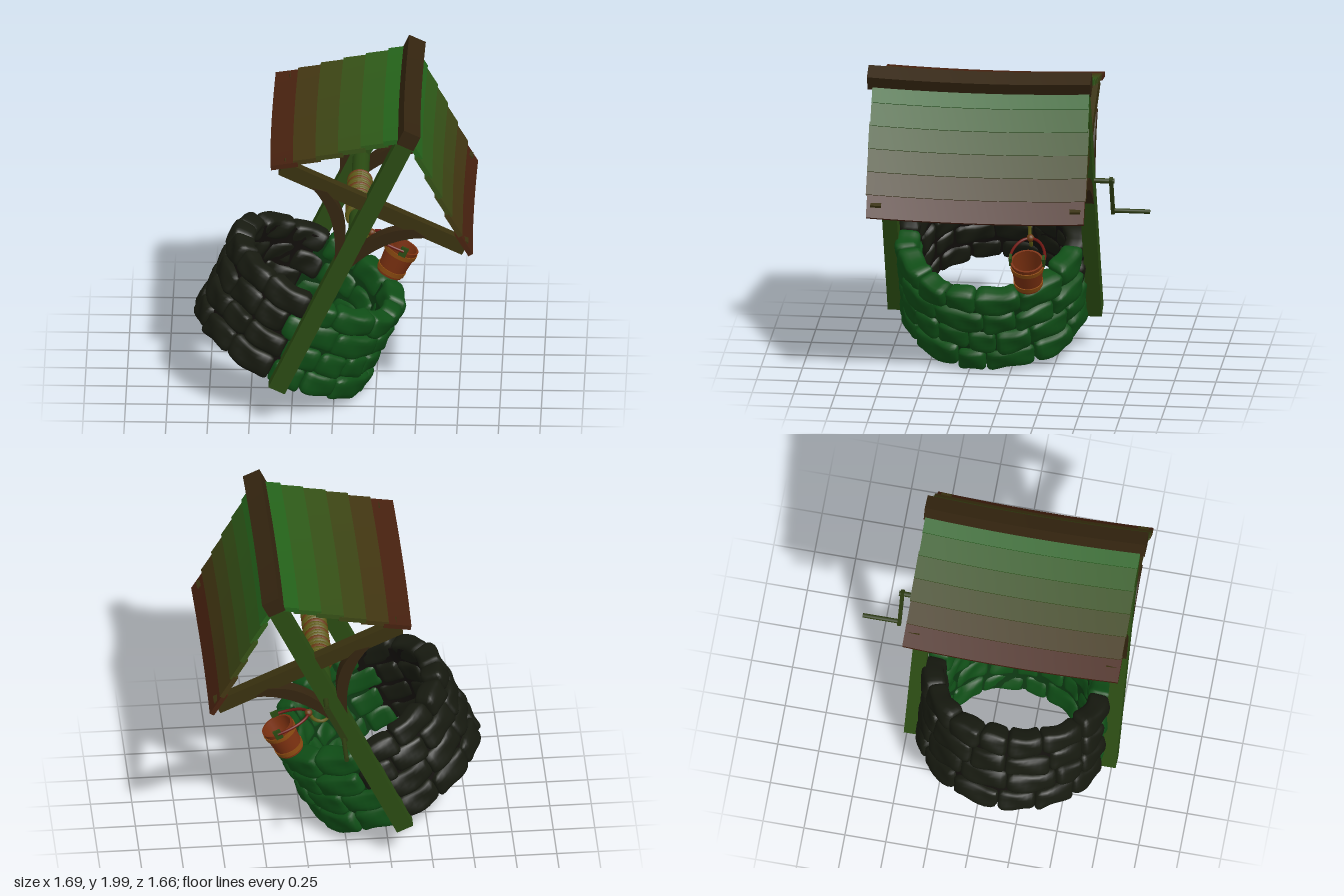
import * as THREE from 'three';
import { mergeGeometries, mergeVertices, toCreasedNormals } from 'three/addons/utils/BufferGeometryUtils.js';

const mat = (color, side = THREE.FrontSide) => new THREE.MeshStandardMaterial({ color, side });
const WOOD = mat(0x39310f), BRACE = mat(0x33240f), GREEN_WOOD = mat(0x2a4a12);
const ROPE = mat(0x5f5a14), ROPE_DARK = mat(0x6a3a12), IRON = mat(0x2b3a10);

let seed = 7;
const rand = () => (seed = (seed * 16807) % 2147483647) / 2147483647;

export function createModel() {
  const model = new THREE.Group();
  const well = new THREE.Group();
  well.name = 'well';
  well.position.set(-0.335, 0.25, 0.145);
  well.rotation.z = -0.44; // the whole well leans
  model.add(well);

  const add = (name, geo, material, x = 0, y = 0, z = 0, parent = well) => {
    const m = new THREE.Mesh(geo, material);
    m.name = name;
    m.position.set(x, y, z);
    parent.add(m);
    return m;
  };
  const box = (w, h, d) => new THREE.BoxGeometry(w, h, d);
  const rod = (r, len, n = 12) => new THREE.CylinderGeometry(r, r, len, n).rotateX(Math.PI / 2);

  // Stone ring
  const stones = { light: [], dark: [] };
  const rows = 4, rowH = 0.148;
  for (let row = 0; row < rows; row++) {
    const count = 13 + (row % 2);
    const widths = Array.from({ length: count }, () => 0.7 + 0.6 * rand());
    const total = widths.reduce((a, b) => a + b);
    let a = row * 0.9;
    for (const wd of widths) {
      const da = (wd / total) * Math.PI * 2;
      const mid = a + da / 2;
      const geo = stone(mid, da * 0.52 - 0.01, (row + 0.5) * rowH + (rand() - 0.5) * 0.02, rowH * (0.94 + 0.14 * rand()));
      (Math.cos(mid) > 0 ? stones.light : stones.dark).push(geo);
      a += da;
    }
  }
  const ringMats = { light: mat(0x0f4d16), dark: mat(0x171a10) };
  add('greenStones', mergeGeometries(stones.light), ringMats.light);
  add('darkStones', mergeGeometries(stones.dark), ringMats.dark);

  // Mortar between the stones, one half per colour
  const mortar = [[0.45, 0.03], [0.53, 0.03], [0.53, 0.56], [0.45, 0.56], [0.45, 0.03]].map(p => new THREE.Vector2(...p));
  const half = start => toCreasedNormals(new THREE.LatheGeometry(mortar, 24, start, Math.PI), 0.6);
  add('greenMortar', half(0), mat(0x0b3510, THREE.DoubleSide));
  add('darkMortar', half(Math.PI), mat(0x120f0c, THREE.DoubleSide));

  // End frames: post, tie beam and two curved braces
  for (const z of [0.602, -0.602]) {
    const frame = new THREE.Group();
    frame.name = z > 0 ? 'frontFrame' : 'backFrame';
    frame.position.z = z;
    well.add(frame);
    add('post', box(0.108, 1.85, 0.09), GREEN_WOOD, 0, 0.925, 0, frame);
    add('tieBeam', box(1.22, 0.092, 0.065), WOOD, 0.01, 1.345, 0, frame);
    for (const s of [1, -1]) {
      const shape = new THREE.Shape();
      shape.moveTo(s * 0.03, 0.86);
      shape.quadraticCurveTo(s * 0.13, 1.2, s * 0.38, 1.31);
      shape.lineTo(s * 0.29, 1.325);
      shape.quadraticCurveTo(s * 0.09, 1.25, s * 0.03, 1.0);
      shape.closePath();
      const geo = new THREE.ExtrudeGeometry(shape, { depth: 0.08, bevelEnabled: false, curveSegments: 10 });
      add('brace', toCreasedNormals(geo, 0.6), BRACE, 0, 0, -0.04, frame);
    }
  }

  // Roof: overlapping sagging planks with rafters below
  const sag = geo => {
    const p = geo.attributes.position;
    for (let i = 0; i < p.count; i++) p.setY(i, p.getY(i) - 0.022 * (1 - (p.getZ(i) / 0.66) ** 2));
    geo.computeVertexNormals();
    return geo;
  };
  const slope = Math.atan2(0.53, 0.65), length = Math.hypot(0.53, 0.65), planks = 6;
  const top = new THREE.Color(0x24621a), low = new THREE.Color(0x47210f);
  for (const s of [1, -1]) {
    for (let i = 0; i < planks; i++) {
      const t = (i + 0.5) / planks;
      const geo = new THREE.BoxGeometry(length / planks + 0.025, 0.03, 1.31 + 0.02 * rand(), 1, 1, 10);
      geo.rotateZ(-s * (slope - 0.09)).translate(s * 0.65 * t, 1.862 - 0.53 * t, 0);
      const color = top.clone().lerp(low, i / (planks - 1));
      add('roofPlank', sag(geo), mat(color));
    }
    for (const z of [-0.2, 0.2]) {
      const geo = box(length - 0.06, 0.04, 0.05).rotateZ(-s * slope);
      add('rafter', geo, BRACE, s * 0.31, 1.55, z);
    }
  }
  add('ridgeBeam', sag(new THREE.BoxGeometry(0.11, 0.1, 1.35, 1, 1, 10).translate(0, 1.865, 0.01)), BRACE);

  // Windlass with rope coils and crank
  const axleY = 1.09;
  add('windlassLog', rod(0.053, 1.15, 14), GREEN_WOOD, 0.017, axleY, 0);
  for (let i = 0; i < 18; i++) {
    const coil = add('ropeCoil', new THREE.TorusGeometry(0.062, 0.016, 6, 18), i % 3 ? ROPE : ROPE_DARK, 0.017, axleY, -0.25 + i * 0.029);
    coil.rotation.y = (rand() - 0.5) * 0.25;
  }
  add('crankAxle', rod(0.016, 0.2), IRON, 0.017, axleY, -0.67);
  add('crankArm', box(0.032, 0.28, 0.022), IRON, 0.017, 0.97, -0.75);
  add('crankHandle', rod(0.014, 0.235), IRON, 0.02, 0.85, -0.857);

  // Hanging rope, looping up to the bucket handle
  const ropePath = [[0.085, 1.09, -0.245], [0.089, 0.9, -0.245], [0.1, 0.77, -0.25], [0.135, 0.71, -0.255],
    [0.18, 0.7, -0.265], [0.22, 0.735, -0.27], [0.232, 0.8, -0.27]].map(p => new THREE.Vector3(...p));
  add('rope', new THREE.TubeGeometry(new THREE.CatmullRomCurve3(ropePath), 40, 0.011, 8), ROPE);
  add('ropeKnot', new THREE.SphereGeometry(0.024, 10, 8), ROPE_DARK, 0.232, 0.8, -0.27);

  // Bucket standing on the rim
  const bucket = new THREE.Group();
  bucket.name = 'bucket';
  bucket.position.set(0.44, 0.605, -0.27);
  well.add(bucket);
  const lathe = pts => toCreasedNormals(new THREE.LatheGeometry(pts.map(p => new THREE.Vector2(...p)), 24), 0.6);
  add('pail', lathe([[0, 0.01], [0.08, 0], [0.1, 0.2], [0.088, 0.2], [0.07, 0.02], [0, 0.02]]), mat(0x7a3010, THREE.DoubleSide), 0, 0, 0, bucket);
  for (const y of [0.015, 0.145]) {
    const r = 0.08 + y * 0.1;
    const hoop = [[r, y], [r + 0.006, y], [r + 0.009, y + 0.03], [r + 0.003, y + 0.03], [r, y]];
    add('hoop', lathe(hoop), mat(0x8a4a10, THREE.DoubleSide), 0, 0, 0, bucket);
  }
  for (const s of [1, -1]) add('ear', box(0.045, 0.06, 0.016), GREEN_WOOD, 0, 0.205, s * 0.1, bucket);
  const arc = Array.from({ length: 13 }, (_, i) => {
    const t = (i / 12 - 0.5) * Math.PI;
    return new THREE.Vector3(-0.205 * Math.cos(t), 0.21 - 0.015 * Math.cos(t), 0.106 * Math.sin(t));
  });
  add('bucketHandle', new THREE.TubeGeometry(new THREE.CatmullRomCurve3(arc), 24, 0.009, 8), mat(0x6a1510), 0, 0, 0, bucket);
  return model;
}

// A rounded, slightly lumpy block bent around the ring
function stone(mid, halfAngle, y, h) {
  const outer = 0.562 + 0.02 * rand(), inner = 0.425 + 0.02 * rand();
  const d = outer - inner, r = 0.036, w = halfAngle * outer * 2;
  let geo = new THREE.BoxGeometry(w, h, d, 8, 6, 5);
  geo.deleteAttribute('uv');
  geo.deleteAttribute('normal');
  geo = mergeVertices(geo);
  const p = geo.attributes.position, v = new THREE.Vector3(), core = new THREE.Vector3();
  const phase = rand() * 6, tilt = (rand() - 0.5) * 0.12;
  const lim = new THREE.Vector3(w / 2 - r, h / 2 - r, d / 2 - r);
  for (let i = 0; i < p.count; i++) {
    v.fromBufferAttribute(p, i);
    core.copy(v).clamp(lim.clone().negate(), lim);
    v.sub(core).setLength(r).add(core);
    v.y += v.x * tilt + 0.006 * Math.sin(v.x * 22 + phase);
    v.z += 0.007 * Math.sin(v.x * 25 + v.y * 30 + phase);
    const ang = mid - v.x / outer, rad = (inner + outer) / 2 + v.z;
    p.setXYZ(i, Math.cos(ang) * rad, y + v.y, Math.sin(ang) * rad);
  }
  geo.computeVertexNormals();
  return geo;
}
